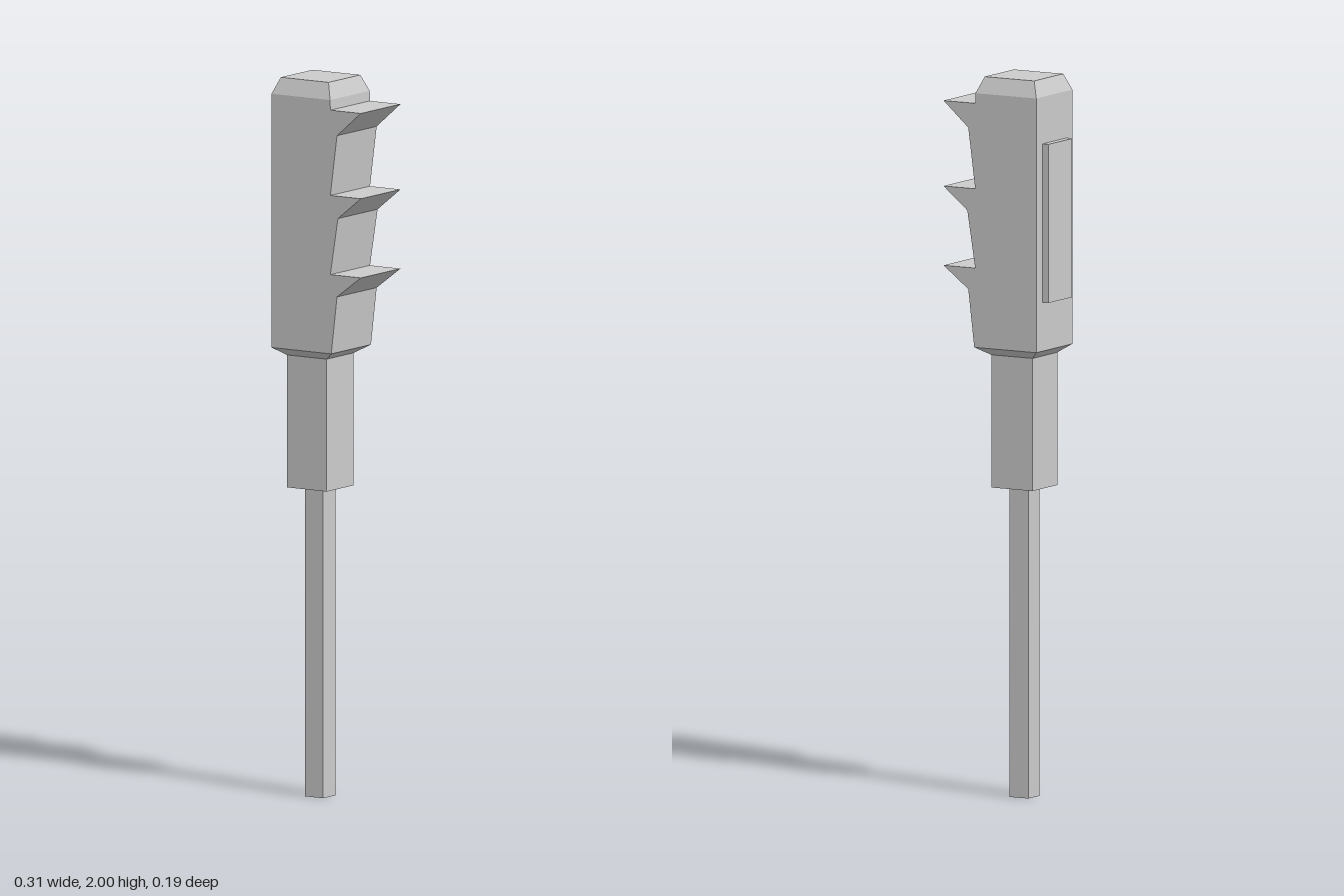
import * as THREE from 'three';

const grey = new THREE.MeshStandardMaterial({ color: 0xcccccc });
grey.name = 'light grey';

// Rectangular solid lofted through levels [y, xMin, xMax, zHalf], bottom to top
function loft(name, levels) {
  const pos = [];
  const rings = levels.map(([y, a, b, z]) => [[a, y, z], [b, y, z], [b, y, -z], [a, y, -z]]);
  const quad = (a, b, c, d) => pos.push(...a, ...b, ...c, ...a, ...c, ...d);
  for (let i = 0; i < rings.length - 1; i++) {
    const lo = rings[i], hi = rings[i + 1];
    for (let k = 0; k < 4; k++) {
      const n = (k + 1) % 4;
      quad(lo[k], lo[n], hi[n], hi[k]);
    }
  }
  const [a, b, c, d] = rings[0];
  quad(d, c, b, a);
  quad(...rings[rings.length - 1]);
  const geo = new THREE.BufferGeometry();
  geo.setAttribute('position', new THREE.Float32BufferAttribute(pos, 3));
  geo.computeVertexNormals();
  const mesh = new THREE.Mesh(geo, grey);
  mesh.name = name;
  return mesh;
}

export function createModel() {
  const group = new THREE.Group();
  group.name = 'trafficLight';

  // Square pole and the thicker sleeve above it
  group.add(loft('pole', [[0, -0.075, -0.014, 0.03], [0.86, -0.075, -0.014, 0.03]]));
  group.add(loft('sleeve', [
    [0.854, -0.075, -0.014, 0.03], [0.86, -0.11, 0.022, 0.066], [1.23, -0.11, 0.022, 0.066],
  ]));

  // Signal housing: side profile with three pointed hoods
  const profile = new THREE.Shape();
  profile.moveTo(-0.14, 1.25);
  profile.lineTo(0.058, 1.25);
  for (const [x, under, top] of [[0.077, 1.41, 1.47], [0.08, 1.628, 1.69], [0.077, 1.858, 1.927]]) {
    profile.lineTo(x, under);
    profile.lineTo(0.156, top);
    profile.lineTo(0.055, top);
  }
  profile.lineTo(0.054, 1.955);
  profile.lineTo(-0.14, 1.955);
  const geo = new THREE.ExtrudeGeometry(profile, { depth: 0.194, bevelEnabled: false });
  geo.translate(0, 0, -0.097);
  const housing = new THREE.Mesh(geo, grey);
  housing.name = 'housingWithHoods';
  group.add(housing);

  // Chamfered ends of the housing
  group.add(loft('housingBase', [[1.228, -0.11, 0.022, 0.066], [1.25, -0.14, 0.058, 0.097]]));
  group.add(loft('housingCap', [[1.955, -0.14, 0.054, 0.097], [2, -0.122, 0.036, 0.078]]));

  // Raised panel on the back of the housing
  group.add(loft('backPanel', [[1.385, -0.159, -0.139, 0.063], [1.825, -0.159, -0.139, 0.063]]));

  return group;
}
